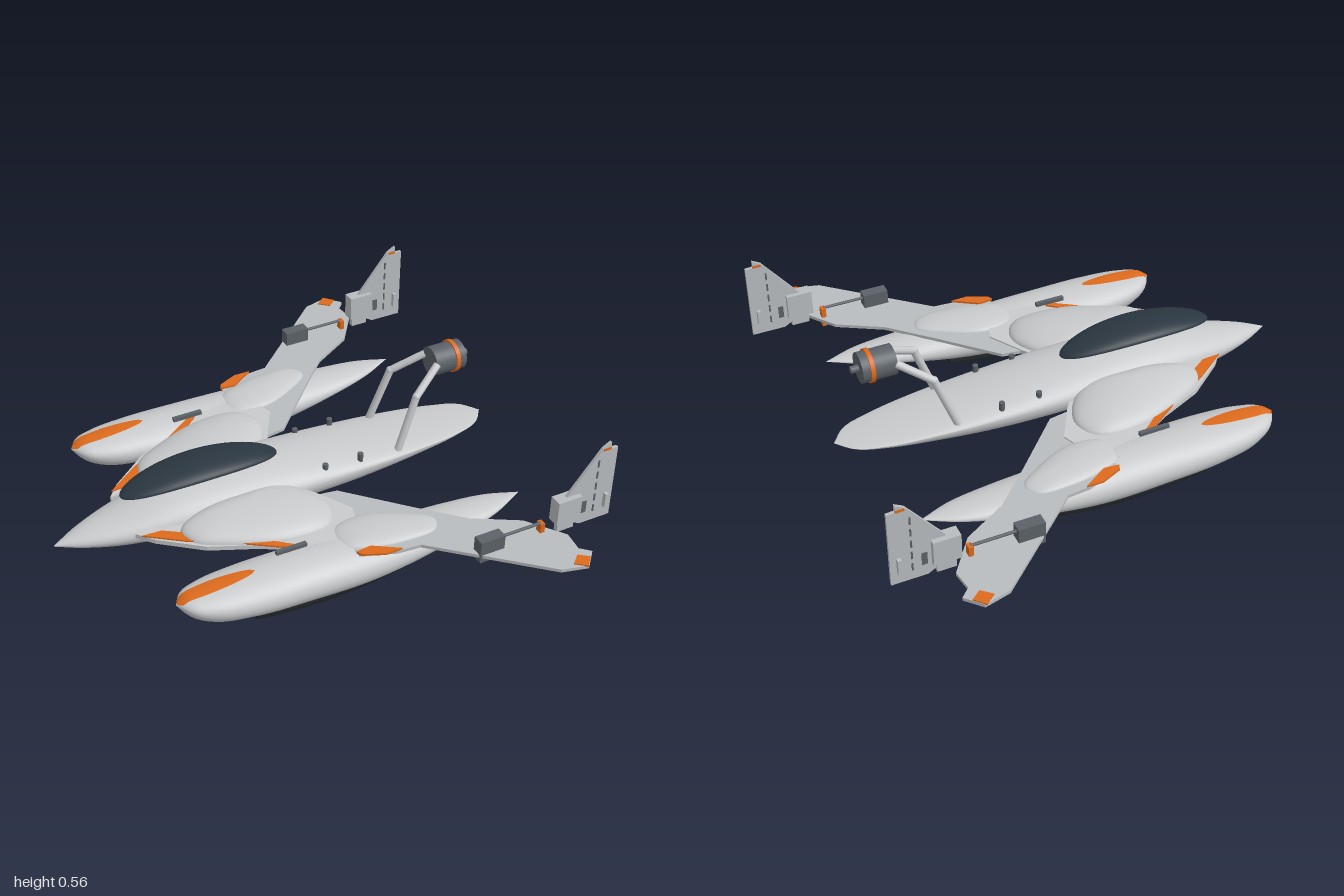
import * as THREE from 'three';
import { mergeVertices } from 'three/addons/utils/BufferGeometryUtils.js';

const mat = (name, color, double) => {
  const m = new THREE.MeshStandardMaterial({ color });
  m.name = name;
  if (double) m.side = THREE.DoubleSide;
  return m;
};

// Surface mesh from a grid of points: rows x columns
function gridGeometry(rows, closed) {
  const n = rows[0].length, pos = rows.flat(2), idx = [];
  for (let i = 0; i < rows.length - 1; i++)
    for (let j = 0; j < (closed ? n : n - 1); j++) {
      const k = (j + 1) % n, a = i * n + j, b = a + n, c = i * n + k, d = c + n;
      idx.push(a, b, c, b, d, c);
    }
  const g = new THREE.BufferGeometry();
  g.setAttribute('position', new THREE.Float32BufferAttribute(pos, 3));
  g.setIndex(idx);
  g.computeVertexNormals();
  return g;
}

// Smooth hull along x from stations [x, halfWidth, top, middle, bottom]
function hullSampler(stations) {
  const f = new THREE.CubicInterpolant(stations.map(s => s[0]), stations.flatMap(s => s.slice(1)), 4, new Float32Array(4));
  return x => {
    const [w, top, mid, bot] = f.evaluate(x);
    return { w: Math.max(w, 0.001), top, mid, bot };
  };
}
function hull(sample, x0, x1, zc, topPower = 1, n = 48, m = 40) {
  const rows = [];
  for (let i = 0; i <= n; i++) {
    const x = x0 + (x1 - x0) * (1 - Math.cos(Math.PI * i / n)) / 2, s = sample(x), row = [];
    for (let j = 0; j < m; j++) {
      const a = 2 * Math.PI * j / m, sn = Math.sin(a);
      const y = sn > 0 ? s.mid + (s.top - s.mid) * sn ** topPower : s.mid + (s.mid - s.bot) * sn;
      row.push([x, y, zc + s.w * Math.cos(a)]);
    }
    rows.push(row);
  }
  return gridGeometry(rows, true);
}

// Flat plate from an (x, z) outline
function plate(points, y, h) {
  const shape = new THREE.Shape(points.map(([x, z]) => new THREE.Vector2(x, -z)));
  return new THREE.ExtrudeGeometry(shape, { depth: h, bevelEnabled: false }).rotateX(-Math.PI / 2).translate(0, y, 0);
}

// Smooth blister over an (x, z) outline with an apex and a sloping base
function blister(points, [ax, ay, az], baseY) {
  const curve = new THREE.CatmullRomCurve3(points.map(([x, z]) => new THREE.Vector3(x, 0, z)), true);
  let ring = curve.getPoints(48).slice(0, 48);
  if (THREE.ShapeUtils.area(ring.map(p => ({ x: p.x, y: p.z }))) > 0) ring = ring.reverse();
  const rows = [];
  for (let i = 0; i <= 12; i++) {
    const s = Math.max(0.001, Math.sin(Math.PI / 2 * i / 12)), c = Math.sqrt(Math.max(0, 1 - s * s));
    rows.push(ring.map(p => [ax + (p.x - ax) * s, baseY(p.z) + (ay - baseY(p.z)) * c, az + (p.z - az) * s]));
  }
  return gridGeometry(rows, true);
}

const box = (x0, x1, y0, y1, z0, z1) =>
  new THREE.BoxGeometry(x1 - x0, y1 - y0, z1 - z0).translate((x0 + x1) / 2, (y0 + y1) / 2, (z0 + z1) / 2);
const cylX = (r, x0, x1, y, z, seg = 32) =>
  new THREE.CylinderGeometry(r, r, x1 - x0, seg).rotateZ(-Math.PI / 2).translate((x0 + x1) / 2, y, z);

function mirrored(geo) {
  const g = geo.index ? geo.clone() : mergeVertices(geo);
  g.scale(1, 1, -1);
  const a = g.index.array;
  for (let i = 0; i < a.length; i += 3) [a[i], a[i + 2]] = [a[i + 2], a[i]];
  return g;
}

export function createModel() {
  const root = new THREE.Group();
  root.name = 'aircraft';
  const hullGrey = mat('hull grey', 0xc8cacc), wingGrey = mat('wing grey', 0xb8bcbe, true);
  const orange = mat('orange trim', 0xdd6a1c, true), dark = mat('dark grey', 0x5c6268);
  const glass = mat('canopy', 0x2a3640, true), black = mat('skid black', 0x1d2124);

  const add = (name, geo, m) => {
    const mesh = new THREE.Mesh(geo, m);
    mesh.name = name;
    root.add(mesh);
  };
  const both = (name, geo, m) => {
    add(name + 'Left', geo, m);
    add(name + 'Right', mirrored(geo), m);
  };

  // Fuselage with a broad flattened tail
  const body = hullSampler([
    [-0.94, 0.001, 0.174, 0.172, 0.17], [-0.85, 0.05, 0.205, 0.175, 0.15], [-0.7, 0.105, 0.24, 0.185, 0.125],
    [-0.5, 0.145, 0.285, 0.2, 0.112], [-0.25, 0.163, 0.3, 0.21, 0.11], [0, 0.165, 0.285, 0.212, 0.11],
    [0.25, 0.158, 0.258, 0.212, 0.115], [0.5, 0.138, 0.23, 0.208, 0.14], [0.7, 0.105, 0.212, 0.2, 0.17],
    [0.81, 0.062, 0.202, 0.198, 0.188], [0.86, 0.001, 0.196, 0.195, 0.194]]);
  add('fuselage', hull(body, -0.94, 0.86, 0), hullGrey);
  for (const x of [0.1, 0.25])
    both('deckStud', new THREE.CylinderGeometry(0.011, 0.011, 0.05, 12).translate(x, 0.245, 0.125), dark);

  // Raised canopy
  const canopy = x => {
    const u = (x + 0.36) / 0.315, q = Math.sqrt(Math.max(0, 1 - u * u));
    const mid = 0.302 + 0.034 * (1 - u * u);
    return { w: 0.001 + 0.095 * q, top: mid + 0.035 * q, mid, bot: mid - 0.004 * q };
  };
  add('canopy', hull(canopy, -0.675, -0.045, 0), glass);

  // Side pods
  const pod = hullSampler([
    [-0.68, 0.001, 0.187, 0.185, 0.183], [-0.65, 0.05, 0.205, 0.178, 0.145], [-0.58, 0.09, 0.215, 0.165, 0.1],
    [-0.42, 0.118, 0.222, 0.15, 0.072], [-0.2, 0.122, 0.222, 0.14, 0.056], [0.05, 0.12, 0.215, 0.135, 0.05],
    [0.25, 0.108, 0.205, 0.14, 0.078], [0.45, 0.085, 0.197, 0.155, 0.125], [0.6, 0.053, 0.19, 0.17, 0.157],
    [0.72, 0.001, 0.181, 0.18, 0.179]]);
  both('pod', hull(pod, -0.68, 0.72, 0.5), hullGrey);

  // Orange flash on each pod nose
  const flash = [];
  for (let i = 0; i <= 20; i++) {
    const t = i / 20, x = -0.678 + 0.3 * t, s = pod(x), row = [];
    const w = Math.min(0.031 * Math.sqrt(Math.sin(Math.PI * Math.min(1, 0.15 + 0.85 * t))), s.w * 0.95);
    for (let j = 0; j <= 6; j++) {
      const dz = w * (1 - j / 3);
      row.push([x, s.mid + (s.top - s.mid) * Math.sqrt(1 - (dz / s.w) ** 2) + 0.003, 0.5 + dz]);
    }
    flash.push(row);
  }
  both('podFlash', gridGeometry(flash, false), orange);

  // Curved skid strips under the pods
  const strip = (x0, x1, halfW, bottom, h) => {
    const rows = [];
    for (let i = 0; i <= 24; i++) {
      const x = x0 + (x1 - x0) * i / 24, y = bottom(x);
      rows.push([[x, y, 0.5 + halfW], [x, y + h, 0.5 + halfW], [x, y + h, 0.5 - halfW], [x, y, 0.5 - halfW]]);
    }
    const mid = r => r.map(() => [r[0][0], r[0][1] + h / 2, 0.5]);
    return gridGeometry([mid(rows[0]), ...rows, mid(rows[24])], true).toNonIndexed();
  };
  const flat = g => { g.computeVertexNormals(); return g; };
  const under = x => pod(x).bot - 0.012;
  both('frontSkid', flat(strip(-0.56, -0.05, 0.032, under, 0.03)), black);
  both('rearSkid', flat(strip(-0.02, 0.58, 0.032, under, 0.026)), black);
  both('lowerSkid', flat(strip(-0.39, 0.22, 0.036, x => 0.3 * (x + 0.1) ** 2 + 0.002, 0.012)), black);

  // Wings: thick inner panel, thin swept outer panel
  both('innerWing', plate([[-0.67, 0.12], [-0.62, 0.18], [-0.47, 0.3], [-0.3, 0.375], [-0.19, 0.44], [-0.03, 0.53],
    [0.06, 0.45], [0.1, 0.34], [0.02, 0.2], [-0.05, 0.1]], 0.198, 0.018), hullGrey);
  both('outerWing', plate([[-0.03, 0.2], [0.1, 0.22], [0.3, 0.43], [0.45, 0.58], [0.62, 0.68], [0.72, 0.82], [0.71, 0.9],
    [0.745, 0.935], [0.69, 0.995], [0.59, 0.97], [0.22, 0.63], [0.13, 0.622], [0, 0.575], [-0.02, 0.5]], 0.198, 0.013), wingGrey);
  both('rootBlister', blister([[-0.52, 0.18], [-0.42, 0.125], [-0.25, 0.11], [-0.08, 0.12], [0, 0.2], [0.03, 0.3],
    [-0.02, 0.39], [-0.2, 0.4], [-0.4, 0.325], [-0.5, 0.26]], [-0.26, 0.275, 0.19], z => 0.225 - 0.04 * z), hullGrey);
  both('wingBlister', blister([[-0.03, 0.52], [-0.02, 0.41], [0.1, 0.385], [0.24, 0.44], [0.34, 0.52], [0.31, 0.58],
    [0.2, 0.59], [0.07, 0.57]], [0.12, 0.236, 0.49], () => 0.208), hullGrey);

  // Orange wing trim and slots
  both('leadingStripe', plate([[-0.655, 0.145], [-0.58, 0.15], [-0.5, 0.205], [-0.33, 0.315], [-0.185, 0.435],
    [-0.22, 0.435], [-0.38, 0.325], [-0.52, 0.245]], 0.216, 0.006), orange);
  both('wingStripe', plate([[-0.01, 0.568], [0.05, 0.562], [0.145, 0.624], [0.08, 0.625], [0, 0.59]], 0.213, 0.008), orange);
  both('tipMark', plate([[0.645, 0.965], [0.683, 0.93], [0.72, 0.96], [0.685, 0.998]], 0.208, 0.007), orange);
  both('wingSlot', box(-0.27, -0.15, 0.215, 0.231, 0.443, 0.459), dark);

  // Tail fins with actuator, rod and hinges
  const fin = new THREE.Shape([[0.73, 0.24], [0.73, 0.345], [0.865, 0.515], [0.9, 0.535], [0.9, 0.507], [0.93, 0.505],
    [0.93, 0.2], [0.8, 0.2]].map(p => new THREE.Vector2(...p)));
  both('fin', new THREE.ExtrudeGeometry(fin, { depth: 0.012, bevelEnabled: false }).translate(0, 0, 0.763), wingGrey);
  both('finBlock', box(0.685, 0.785, 0.245, 0.345, 0.745, 0.795), wingGrey);
  both('finPost', box(0.70, 0.77, 0.2, 0.25, 0.76, 0.78), wingGrey);
  both('rudderHorn', box(0.893, 0.907, 0.25, 0.31, 0.747, 0.791), wingGrey);
  both('finTip', box(0.868, 0.9, 0.505, 0.515, 0.761, 0.777), orange);
  for (let i = 0; i < 5; i++)
    both('hinge', box(0.85, 0.856, 0.24 + i * 0.05, 0.27 + i * 0.05, 0.76, 0.778), dark);
  both('finPanel', box(0.80, 0.82, 0.25, 0.3, 0.76, 0.778), dark);
  both('actuator', box(0.375, 0.475, 0.178, 0.268, 0.734, 0.78), dark);
  both('rod', cylX(0.006, 0.475, 0.64, 0.248, 0.757, 10), dark);
  both('bracket', box(0.634, 0.652, 0.17, 0.25, 0.743, 0.77), orange);

  // Engine on two bent arms
  const arm = new THREE.CurvePath();
  const joints = [[0.42, 0.22, 0.115], [0.5, 0.435, 0.1], [0.62, 0.51, 0.045]].map(p => new THREE.Vector3(...p));
  for (let i = 0; i < 2; i++) {
    arm.add(new THREE.LineCurve3(joints[i], joints[i + 1]));
    both('engineArm', new THREE.TubeGeometry(arm.curves[i], 1, 0.015, 12), hullGrey);
  }
  both('armJoint', new THREE.SphereGeometry(0.016, 12, 8).translate(0.5, 0.435, 0.1), hullGrey);
  add('engine', cylX(0.058, 0.615, 0.745, 0.5, 0), dark);
  add('engineRing', cylX(0.064, 0.70, 0.716, 0.5, 0), orange);
  add('engineHub', cylX(0.014, 0.745, 0.775, 0.5, 0, 16), dark);
  return root;
}
